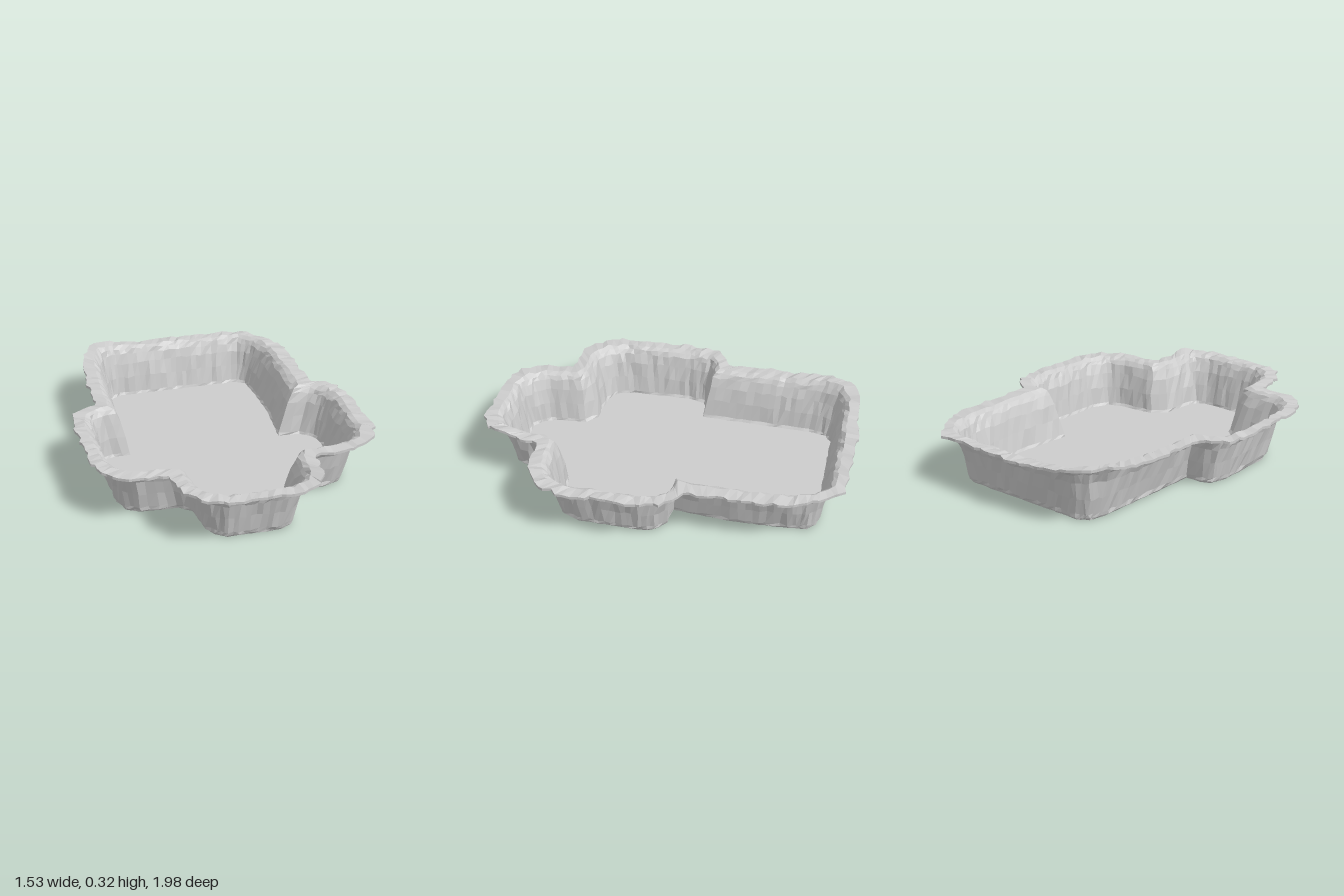
import * as THREE from 'three';

// Plan outline, clockwise from above: [floor x, floor z, rim x, rim z]
const OUTLINE = [
  [-0.44, -0.08, -0.60, -0.20], [-0.43, -0.45, -0.60, -0.48], [-0.42, -0.72, -0.56, -0.79],
  [-0.40, -0.79, -0.50, -0.90], [-0.35, -0.82, -0.38, -0.96], [0, -0.825, 0, -0.985],
  [0.36, -0.83, 0.43, -0.97], [0.41, -0.79, 0.53, -0.86], [0.42, -0.70, 0.60, -0.70],
  [0.43, -0.40, 0.61, -0.42], [0.40, -0.09, 0.61, -0.18], [0.52, -0.08, 0.67, -0.17],
  [0.58, -0.03, 0.73, -0.10], [0.60, 0.04, 0.755, 0.03], [0.59, 0.36, 0.75, 0.42],
  [0.55, 0.45, 0.69, 0.56], [0.46, 0.48, 0.57, 0.625], [0.27, 0.50, 0.36, 0.635],
  [0.20, 0.57, 0.35, 0.70], [0.19, 0.75, 0.33, 0.86], [0.17, 0.80, 0.28, 0.94],
  [0.12, 0.83, 0.18, 0.98], [-0.15, 0.83, -0.18, 0.99], [-0.20, 0.79, -0.30, 0.93],
  [-0.23, 0.72, -0.37, 0.84], [-0.25, 0.55, -0.39, 0.66], [-0.31, 0.50, -0.45, 0.655],
  [-0.50, 0.49, -0.60, 0.65], [-0.57, 0.45, -0.69, 0.57], [-0.60, 0.36, -0.74, 0.45],
  [-0.605, 0.03, -0.755, 0.05], [-0.58, -0.06, -0.73, -0.11], [-0.53, -0.08, -0.67, -0.17],
];

// Wall section: [blend from floor outline to rim outline, height], up outside, over the lip, down inside
const SECTION = [
  [0.03, 0], [0.09, 0.012], [0.12, 0.03], [0.25, 0.12], [0.38, 0.2], [0.52, 0.245], [0.66, 0.266], [1, 0.27],
  [1, 0.284], [0.62, 0.286], [0.48, 0.272], [0.39, 0.25], [0.27, 0.2], [0.15, 0.12], [0.04, 0.03], [0, 0.016],
];

// Repeatable value from -1 to 1
function hash(i, k, c) {
  const s = Math.sin(i * 127.1 + k * 311.7 + c * 74.7) * 43758.5453;
  return (s - Math.floor(s)) * 2 - 1;
}

// Split long outline edges into short ones
function resample(points, step) {
  const out = [];
  points.forEach((p, i) => {
    const q = points[(i + 1) % points.length];
    const n = Math.max(1, Math.round(Math.hypot(q[2] - p[2], q[3] - p[3]) / step));
    for (let s = 0; s < n; s++) out.push(p.map((v, c) => v + (q[c] - v) * s / n));
  });
  return out;
}

// Raised patches of the rim
function rimLift(x, z) {
  const bump = (cx, cz, r, h) => h * Math.exp(-((x - cx) ** 2 + (z - cz) ** 2) / (r * r));
  return bump(-0.5, -0.86, 0.2, 0.042) + bump(0.33, 0.87, 0.1, 0.022);
}

function makeRings() {
  const columns = resample(OUTLINE, 0.035);
  const last = SECTION.length - 1;
  return SECTION.map(([t, y], j) => {
    const k = Math.min(j, last - j); // inner and outer faces share their roughness
    const rough = k === 0 ? 0.003 : k === 7 ? 0.011 : 0.006;
    return columns.map(([fx, fz, rx, rz], i) => {
      const x = fx + (rx - fx) * t, z = fz + (rz - fz) * t;
      const lift = k >= 4 ? rimLift(x, z) * (k - 3) / 4 : 0;
      return new THREE.Vector3(
        x + hash(i, k, 1) * rough,
        y + lift + (k > 1 ? hash(i, k, 2) * 0.006 : 0),
        z + hash(i, k, 3) * rough);
    });
  });
}

// Skin the rings into one closed strip
function wallGeometry(rings) {
  const n = rings[0].length, index = [];
  for (let j = 0; j < rings.length - 1; j++) {
    for (let i = 0; i < n; i++) {
      const a = j * n + i, b = j * n + (i + 1) % n;
      index.push(a, a + n, b, b, a + n, b + n);
    }
  }
  const geometry = new THREE.BufferGeometry().setFromPoints(rings.flat());
  geometry.setIndex(index);
  geometry.computeVertexNormals();
  return geometry;
}

// Flat cap filling a ring, facing up (1) or down (-1)
function floorGeometry(ring, facing) {
  const shape = new THREE.Shape(ring.map(p => new THREE.Vector2(p.x, -p.z * facing)));
  return new THREE.ShapeGeometry(shape).rotateX(-facing * Math.PI / 2);
}

export function createModel() {
  const group = new THREE.Group();
  group.name = 'basin';
  const grey = new THREE.MeshStandardMaterial({ color: 0xcccccc, flatShading: true, side: THREE.DoubleSide });
  grey.name = 'light grey';

  const add = (name, geometry, y = 0) => {
    const mesh = new THREE.Mesh(geometry, grey);
    mesh.name = name;
    mesh.position.y = y;
    group.add(mesh);
  };

  const rings = makeRings();
  add('wallAndRim', wallGeometry(rings));
  add('innerFloor', floorGeometry(rings[rings.length - 1], 1), SECTION[SECTION.length - 1][1]);
  add('underside', floorGeometry(rings[0], -1));
  return group;
}
